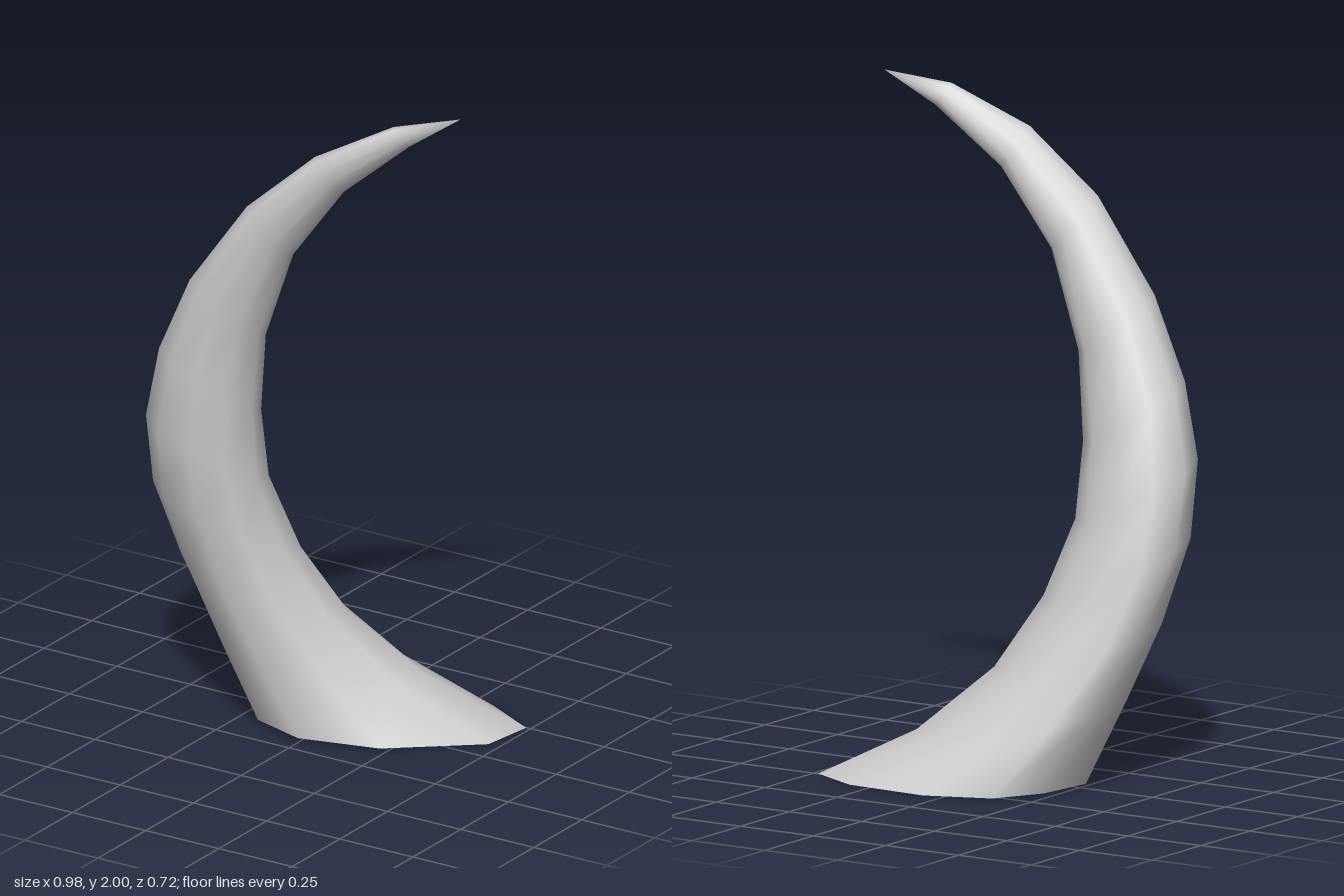
import * as THREE from 'three';

// Cross-sections from base to tip: outer x, y; inner x, y; back z; front z
const rings = [
  [-0.27, 0.015, 0.485, 0.005, -0.36, 0.2],
  [-0.36, 0.24, 0.23, 0.16, -0.235, 0.24],
  [-0.44, 0.46, 0.04, 0.35, -0.115, 0.275],
  [-0.495, 0.7, -0.07, 0.56, -0.03, 0.33],
  [-0.49, 0.92, -0.14, 0.78, 0.03, 0.36],
  [-0.435, 1.14, -0.14, 1.0, 0.09, 0.355],
  [-0.32, 1.38, -0.105, 1.25, 0.14, 0.35],
  [-0.12, 1.65, 0.0, 1.53, 0.18, 0.335],
  [0.09, 1.84, 0.16, 1.75, 0.175, 0.285],
  [0.31, 1.96, 0.35, 1.91, 0.138, 0.195],
];
const tip = [0.487, 2, 0.097];

// Ten-sided outline of the base, scaled to -1..1 in x and z
const baseOutline = [
  [1, -0.6], [0.95, 0], [0.33, 0.75], [-0.29, 1], [-0.74, 0.82],
  [-1, 0.29], [-0.92, -0.32], [-0.68, -0.79], [-0.15, -1], [0.56, -0.91],
];

function hornGeometry() {
  const n = baseOutline.length;
  const positions = [];
  const index = [];

  rings.forEach(([xo, yo, xi, yi, zb, zf], i) => {
    // The outline becomes an even round a few rings above the base
    const round = Math.min(1, i / 4);
    const tilt = (yi - yo) / 2;
    baseOutline.forEach(([bu, bv], j) => {
      const angle = THREE.MathUtils.degToRad(-31 + (360 / n) * j);
      const u = THREE.MathUtils.lerp(bu, 1.02 * Math.cos(angle), round);
      const v = THREE.MathUtils.lerp(bv, 1.02 * Math.sin(angle), round);
      positions.push(
        (xo + xi) / 2 + (u * (xi - xo)) / 2,
        (yo + yi) / 2 + tilt * (u - 0.75 * v),
        (zb + zf) / 2 + (v * (zf - zb)) / 2
      );
    });
  });
  positions.push(...tip);

  // Walls between the rings, then the fan that closes the tip
  const last = rings.length - 1;
  for (let i = 0; i <= last; i++) {
    for (let j = 0; j < n; j++) {
      const a = i * n + j;
      const b = i * n + ((j + 1) % n);
      if (i === last) index.push(a, rings.length * n, b);
      else index.push(a, a + n, b, b, a + n, b + n);
    }
  }

  const geometry = new THREE.BufferGeometry();
  geometry.setAttribute('position', new THREE.Float32BufferAttribute(positions, 3));
  geometry.setIndex(index);
  geometry.computeVertexNormals();
  return geometry;
}

export function createModel() {
  const group = new THREE.Group();
  group.name = 'curvedHorn';

  // Hollow shell, open at the base
  const horn = new THREE.Mesh(
    hornGeometry(),
    new THREE.MeshStandardMaterial({ color: 0xcccccc, side: THREE.DoubleSide })
  );
  horn.name = 'horn';
  group.add(horn);
  return group;
}
